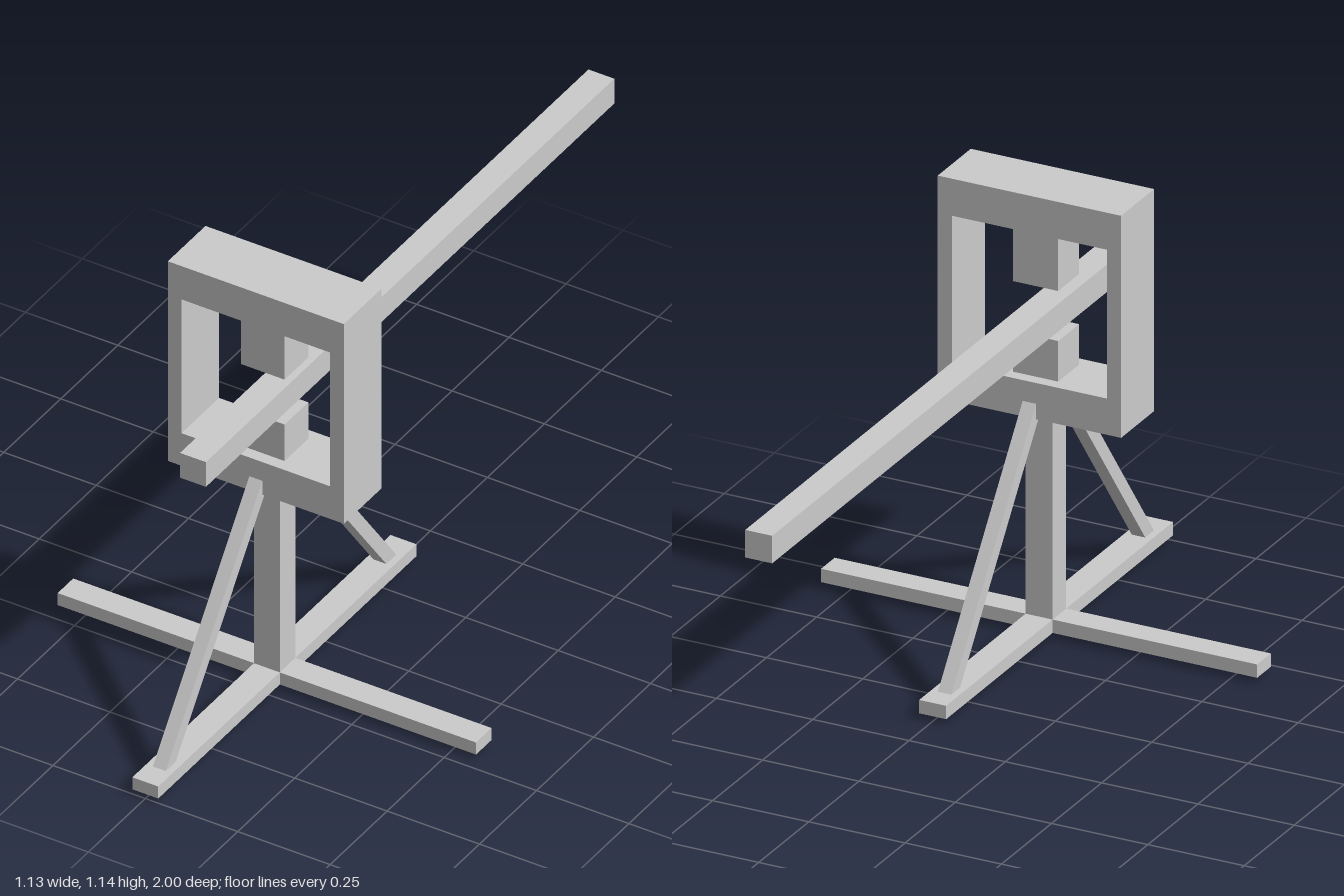
import * as THREE from 'three';

const material = new THREE.MeshStandardMaterial({ color: 0xcccccc, flatShading: true });
const AXIS_Z = 0.433; // depth of the post and head frame

export function createModel() {
  const model = new THREE.Group();
  model.name = 'swingArmStand';

  const add = (name, geometry) => {
    const mesh = new THREE.Mesh(geometry, material);
    mesh.name = name;
    model.add(mesh);
    return mesh;
  };
  // Box given by its lower and upper limits on each axis
  const box = (name, [x0, x1], [y0, y1], [z0, z1]) => {
    const mesh = add(name, new THREE.BoxGeometry(x1 - x0, y1 - y0, z1 - z0));
    mesh.position.set((x0 + x1) / 2, (y0 + y1) / 2, (z0 + z1) / 2);
    return mesh;
  };
  const around = (c, half) => [c - half, c + half];

  // Crossed base beams and upright post
  box('baseCrossBeam', [-0.566, 0.566], [0.013, 0.047], around(AXIS_Z, 0.034));
  box('baseLongBeam', [-0.035, 0.035], [0.013, 0.047], [-0.132, 1]);
  box('post', [-0.035, 0.035], [0.013, 0.572], around(AXIS_Z, 0.034));

  // Diagonal braces, mirrored front and back
  for (const side of [1, -1]) {
    const foot = new THREE.Vector3(0, 0.0105, AXIS_Z + side * 0.511);
    const head = new THREE.Vector3(0, 0.616, AXIS_Z + side * 0.057);
    const brace = add(side > 0 ? 'frontBrace' : 'backBrace',
      new THREE.BoxGeometry(0.035, 0.035, foot.distanceTo(head)));
    brace.position.copy(foot).lerp(head, 0.5);
    brace.lookAt(head);
  }

  // Rectangular head frame with a window
  const rectangle = (target, x, y0, y1) => target.setFromPoints([
    new THREE.Vector2(-x, y0), new THREE.Vector2(x, y0),
    new THREE.Vector2(x, y1), new THREE.Vector2(-x, y1),
  ]);
  const outline = rectangle(new THREE.Shape(), 0.238, 0.572, 1.136);
  outline.holes.push(rectangle(new THREE.Path(), 0.201, 0.664, 1.042));
  const frame = add('headFrame', new THREE.ExtrudeGeometry(outline, { depth: 0.165, bevelEnabled: false }));
  frame.position.z = AXIS_Z - 0.0825;

  // Blocks above and below the arm
  box('upperBlock', [-0.059, 0.059], [0.894, 1.042], around(AXIS_Z, 0.052));
  box('lowerBlock', [-0.059, 0.059], [0.664, 0.767], around(AXIS_Z, 0.052));

  // Long arm resting on the lower block
  box('arm', [-0.035, 0.035], [0.767, 0.837], [-1, 0.791]);

  return model;
}
